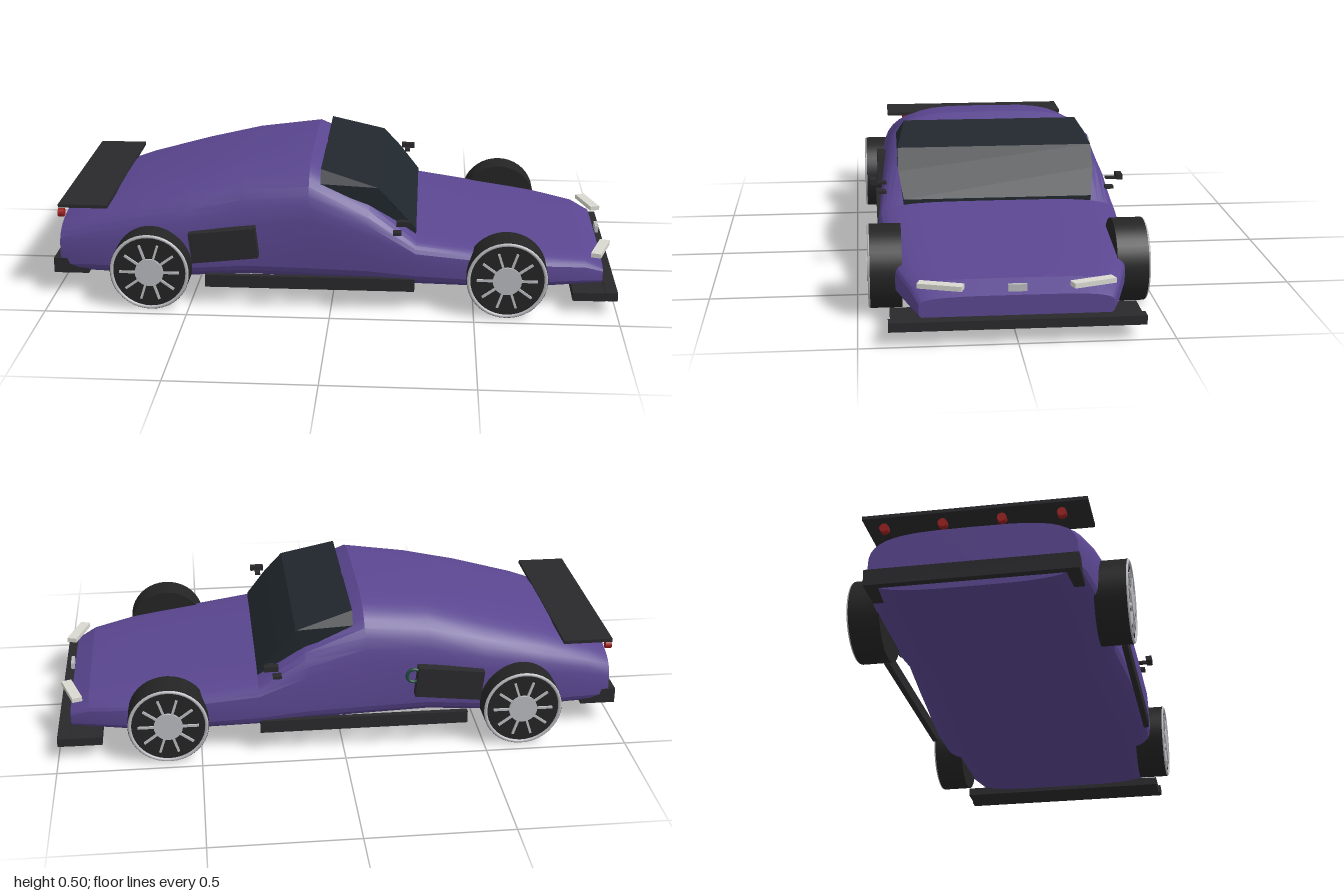
import * as THREE from 'three';
import { toCreasedNormals } from 'three/addons/utils/BufferGeometryUtils.js';

const mat = (color, extra = {}) => new THREE.MeshStandardMaterial({ color, ...extra });
const PAINT = mat(0x5a4690), DARK = mat(0x29292c), GLASS = mat(0x20272d);
const TYRE = mat(0x242424), METAL = mat(0xb8b9be), LAMP = mat(0xd8d8d0);
const RED = mat(0x9c2020), GREEN = mat(0x1c4a38);

function add(parent, name, geometry, material, x = 0, y = 0, z = 0) {
  const mesh = new THREE.Mesh(geometry, material);
  mesh.name = name;
  mesh.position.set(x, y, z);
  parent.add(mesh);
  return mesh;
}

// Box given by its limits on each axis
function boxBetween(parent, name, material, [x0, x1], [y0, y1], [z0, z1]) {
  return add(parent, name, new THREE.BoxGeometry(x1 - x0, y1 - y0, z1 - z0), material,
    (x0 + x1) / 2, (y0 + y1) / 2, (z0 + z1) / 2);
}

// Rounded-rectangle sections lofted along x: [x, bottom, waist, top, half width, squareness]
function bodyGeometry() {
  const stations = [
    [-0.975, 0.06, 0.14, 0.27, 0.335, 3.6],
    [-0.90, 0.06, 0.15, 0.305, 0.352, 3.6],
    [-0.73, 0.06, 0.16, 0.367, 0.375, 3.6],
    [-0.51, 0.06, 0.17, 0.428, 0.392, 3.7],
    [-0.31, 0.065, 0.18, 0.48, 0.375, 3.8],
    [-0.08, 0.068, 0.19, 0.505, 0.395, 4],
    [0.13, 0.068, 0.19, 0.402, 0.41, 4],
    [0.295, 0.065, 0.18, 0.265, 0.422, 4.2],
    [0.50, 0.06, 0.16, 0.235, 0.41, 4.2],
    [0.74, 0.06, 0.135, 0.204, 0.38, 4.2],
    [0.89, 0.06, 0.12, 0.18, 0.335, 4.2],
    [0.955, 0.06, 0.105, 0.145, 0.31, 4],
  ];
  const sides = 40, points = [], index = [];
  const power = (v, n) => Math.sign(v) * Math.abs(v) ** (2 / n);
  for (const [x, bottom, waist, top, half, n] of stations) {
    for (let i = 0; i < sides; i++) {
      const a = (i / sides) * Math.PI * 2, s = Math.sin(a);
      const rise = s > 0 ? top - waist : waist - bottom;
      points.push(x, waist + rise * power(s, n), half * power(Math.cos(a), n));
    }
  }
  const last = stations.length - 1, tail = points.length / 3, nose = tail + 1;
  for (const k of [0, last]) points.push(stations[k][0], stations[k][2], 0);
  for (let i = 0; i < sides; i++) {
    const next = (i + 1) % sides;
    for (let j = 0; j < last; j++) {
      const a = j * sides + i, b = j * sides + next;
      index.push(a, a + sides, b, b, a + sides, b + sides);
    }
    index.push(tail, i, next, nose, last * sides + next, last * sides + i);
  }
  const g = new THREE.BufferGeometry();
  g.setAttribute('position', new THREE.Float32BufferAttribute(points, 3));
  g.setIndex(index);
  return toCreasedNormals(g, 0.3);
}

// Folded windscreen slab, narrower at the roof and at its foot
function windscreenGeometry() {
  const profile = [[-0.04, 0.485], [0.16, 0.43], [0.225, 0.36], [0.295, 0.275],
    [0.295, 0.25], [0.14, 0.355], [-0.04, 0.44]];
  const shape = new THREE.Shape(profile.map(p => new THREE.Vector2(...p)));
  const g = new THREE.ExtrudeGeometry(shape, { depth: 2, bevelEnabled: false });
  const pos = g.attributes.position;
  for (let i = 0; i < pos.count; i++) {
    const y = pos.getY(i);
    const half = y > 0.47 ? 0.318 : y < 0.3 ? 0.332 : 0.348;
    pos.setZ(i, (pos.getZ(i) - 1) * half);
  }
  g.computeVertexNormals();
  return g;
}

// Wheel with its outer face towards +z
function makeWheel() {
  const wheel = new THREE.Group();
  const tyre = new THREE.CylinderGeometry(0.14, 0.14, 0.105, 40).rotateX(Math.PI / 2);
  add(wheel, 'tyre', tyre, TYRE);
  add(wheel, 'rimRing', new THREE.TorusGeometry(0.133, 0.006, 8, 40), METAL, 0, 0, 0.053);
  const hub = new THREE.CylinderGeometry(0.05, 0.05, 0.016, 24).rotateX(Math.PI / 2);
  add(wheel, 'hub', hub, METAL, 0, 0, 0.053);
  const spoke = new THREE.BoxGeometry(0.07, 0.008, 0.01).translate(0.07, 0, 0);
  for (let i = 0; i < 10; i++) {
    add(wheel, 'spoke', spoke, METAL, 0, 0, 0.054).rotation.z = (i / 10) * Math.PI * 2;
  }
  return wheel;
}

export function createModel() {
  const car = new THREE.Group();
  car.name = 'sportsCar';
  add(car, 'body', bodyGeometry(), PAINT);
  add(car, 'windscreen', windscreenGeometry(), GLASS);

  // Parts across the whole width
  boxBetween(car, 'rearWing', DARK, [-0.965, -0.79], [0.338, 0.35], [-0.365, 0.365]);
  boxBetween(car, 'rearBumper', DARK, [-1, -0.875], [0.08, 0.135], [-0.34, 0.34]);
  boxBetween(car, 'frontSplitter', DARK, [0.845, 0.96], [0.045, 0.075], [-0.397, 0.397]);
  boxBetween(car, 'splitterLip', DARK, [0.958, 1], [0.05, 0.08], [-0.405, 0.405]);
  boxBetween(car, 'noseTrim', METAL, [0.953, 0.965], [0.16, 0.183], [-0.03, 0.03]);

  // Round tail lights
  const lamp = new THREE.CylinderGeometry(0.015, 0.015, 0.022, 16).rotateZ(Math.PI / 2);
  for (const z of [-0.285, -0.095, 0.095, 0.285]) add(car, 'tailLight', lamp, RED, -0.975, 0.29, z);

  // Parts repeated on both sides
  for (const s of [1, -1]) {
    for (const [name, x] of [['frontWheel', 0.612], ['rearWheel', -0.632]]) {
      const wheel = makeWheel();
      wheel.name = name;
      wheel.position.set(x, 0.14, s * 0.405);
      if (s < 0) wheel.rotation.y = Math.PI;
      car.add(wheel);
    }
    add(car, 'sideSkirt', new THREE.BoxGeometry(0.735, 0.045, 0.02), DARK, -0.075, 0.097, s * 0.413);
    const intake = add(car, 'sideIntake', new THREE.BoxGeometry(0.235, 0.11, 0.04), DARK, -0.377, 0.226, s * 0.396);
    intake.rotation.z = 0.11;
    const light = add(car, 'headlight', new THREE.BoxGeometry(0.036, 0.016, 0.145), LAMP, 0.95, 0.18, s * 0.24);
    light.rotation.y = -s * 0.32;

    // Door mirror: foot, stem and housing
    const mirror = new THREE.Group();
    mirror.name = 'doorMirror';
    car.add(mirror);
    add(mirror, 'mirrorFoot', new THREE.BoxGeometry(0.03, 0.01, 0.03), DARK, 0.23, 0.288, s * 0.407);
    add(mirror, 'mirrorStem', new THREE.BoxGeometry(0.02, 0.008, 0.04), DARK, 0.25, 0.327, s * 0.41);
    add(mirror, 'mirrorHousing', new THREE.BoxGeometry(0.05, 0.018, 0.022), DARK, 0.252, 0.335, s * 0.437);
  }

  // Fuel filler ring on one flank
  add(car, 'fillerRing', new THREE.TorusGeometry(0.024, 0.006, 8, 24), GREEN, -0.25, 0.26, -0.4);
  return car;
}
